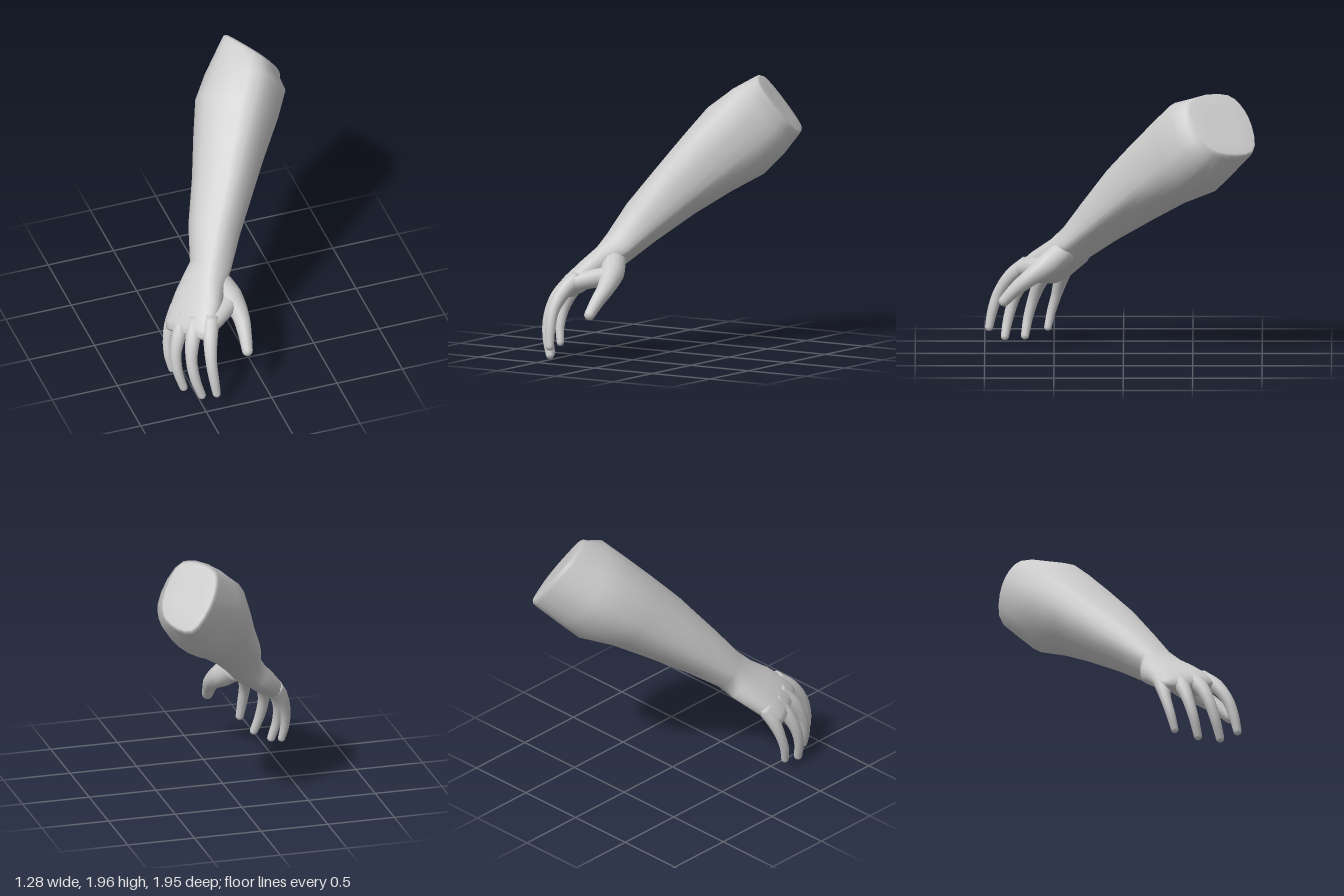
import * as THREE from 'three';

const V = (x, y, z) => new THREE.Vector3(x, y, z);
const SIDES = 24;
const material = new THREE.MeshStandardMaterial({ color: 0xcccccc });

// Forearm frame: axis to the elbow, across and upward directions
const axis = V(0.44, 0.6, -0.66).normalize();
const across = V(0.83, 0, 0.55).normalize();
const upward = V(-0.33, 0.8, 0.495).normalize();
// Palm frame: pinky side to index side, and back of the hand
const palmAcross = V(0.51, 0.2, 0.84).normalize();
const palmBack = V(-0.62, 0.762, 0.195).normalize();

// Skin over a list of rings, closed at both ends
function loft(name, rings) {
  const n = rings[0].length, pos = [], index = [];
  const centre = r => r.reduce((s, p) => s.add(p), V(0, 0, 0)).divideScalar(n);
  rings.forEach(r => r.forEach(p => pos.push(p.x, p.y, p.z)));
  for (let i = 0; i < rings.length - 1; i++) {
    for (let j = 0; j < n; j++) {
      const k = (j + 1) % n;
      const a = i * n + j, b = i * n + k, c = a + n, d = b + n;
      index.push(a, b, c, b, d, c);
    }
  }
  const first = rings.length * n, last = (rings.length - 1) * n;
  pos.push(...centre(rings[0]).toArray(), ...centre(rings[rings.length - 1]).toArray());
  for (let j = 0; j < n; j++) {
    const k = (j + 1) % n;
    index.push(first, k, j, first + 1, last + j, last + k);
  }
  const geo = new THREE.BufferGeometry();
  geo.setAttribute('position', new THREE.Float32BufferAttribute(pos, 3));
  geo.setIndex(index);
  geo.computeVertexNormals();
  const mesh = new THREE.Mesh(geo, material);
  mesh.name = name;
  return mesh;
}

// Forearm ring from radii at six angles; the elbow rings lie on a slanted plane
const ANGLES = [0, 68, 132, 180, 248, 312].map(a => a * Math.PI / 180);
function armRing(s, radii, slanted = false, scale = 1) {
  const curve = new THREE.CatmullRomCurve3(
    radii.map((r, i) => V(Math.cos(ANGLES[i]) * r * scale, Math.sin(ANGLES[i]) * r * scale, 0)), true);
  return Array.from({ length: SIDES }, (_, j) => {
    const p = curve.getPoint(j / SIDES);
    const along = s + (slanted ? -0.42 * p.x - 0.06 * p.y : 0);
    return V(0, 0, 0).addScaledVector(axis, along)
      .addScaledVector(across, p.x).addScaledVector(upward, p.y + 0.87);
  });
}

// Slightly squared ellipse across the palm
function palmRing([x, y, z, halfWidth, halfDepth]) {
  const soft = t => Math.sign(t) * Math.abs(t) ** 0.85;
  return Array.from({ length: SIDES }, (_, j) => {
    const a = j / SIDES * Math.PI * 2;
    return V(x, y, z).addScaledVector(palmAcross, soft(Math.cos(a)) * halfWidth)
      .addScaledVector(palmBack, soft(Math.sin(a)) * halfDepth);
  });
}

// Tapered digit with a rounded tip; each point is x, y, z, radius
function digit(name, points, sides = 14, steps = 16) {
  const curve = new THREE.CatmullRomCurve3(points.map(p => V(p[0], p[1], p[2])));
  const radiusAt = t => {
    const f = t * (points.length - 1), i = Math.min(Math.floor(f), points.length - 2);
    return THREE.MathUtils.lerp(points[i][3], points[i + 1][3], f - i);
  };
  const ring = (p, dir, r) => {
    const u = V(0.51, 0.2, 0.84).addScaledVector(dir, -dir.dot(V(0.51, 0.2, 0.84))).normalize();
    const v = dir.clone().cross(u);
    return Array.from({ length: sides }, (_, j) => {
      const a = j / sides * Math.PI * 2;
      return p.clone().addScaledVector(u, Math.cos(a) * r).addScaledVector(v, Math.sin(a) * r);
    });
  };
  const rings = [];
  for (let i = 0; i <= steps; i++) {
    const t = i / steps;
    rings.push(ring(curve.getPoint(t), curve.getTangent(t), radiusAt(t)));
  }
  const tip = curve.getPoint(1), dir = curve.getTangent(1), r = radiusAt(1);
  for (const a of [0.4, 0.8, 1.15, 1.45]) {
    rings.push(ring(tip.clone().addScaledVector(dir, Math.sin(a) * r), dir, Math.cos(a) * r));
  }
  return loft(name, rings);
}

export function createModel() {
  const model = new THREE.Group();
  model.name = 'arm';

  // Forearm and palm in one skin, from the cut elbow end to the knuckles
  const elbow = [0.21, 0.31, 0.29, 0.235, 0.28, 0.22];
  const skin = [
    armRing(1.735, elbow, true, 0.5),
    armRing(1.735, elbow, true, 0.92),
    armRing(1.72, elbow, true, 0.98),
    armRing(1.69, elbow, true, 1.01),
    armRing(1.52, [0.27, 0.365, 0.335, 0.32, 0.31, 0.265]),
    armRing(1.32, [0.255, 0.345, 0.36, 0.35, 0.33, 0.27]),
    armRing(1.05, [0.225, 0.315, 0.32, 0.31, 0.26, 0.215]),
    armRing(0.75, [0.195, 0.275, 0.27, 0.26, 0.215, 0.15]),
    armRing(0.4, [0.16, 0.2, 0.215, 0.22, 0.17, 0.12]),
    armRing(0.14, [0.148, 0.14, 0.14, 0.16, 0.15, 0.107]),
    ...[
      [-0.30, 0.70, 0.40, 0.175, 0.11],
      [-0.38, 0.62, 0.49, 0.205, 0.095],
      [-0.45, 0.54, 0.57, 0.215, 0.085],
      [-0.50, 0.49, 0.62, 0.21, 0.065],
      [-0.53, 0.46, 0.65, 0.185, 0.035],
    ].map(palmRing),
  ];
  model.add(loft('forearmAndPalm', skin));

  // Fingers, curling down from the knuckles
  const fingers = {
    indexFinger: [[-0.35, 0.60, 0.69, 0.06], [-0.40, 0.50, 0.81, 0.053],
      [-0.425, 0.37, 0.90, 0.042], [-0.42, 0.24, 0.945, 0.037], [-0.408, 0.125, 0.968, 0.03]],
    middleFinger: [[-0.44, 0.57, 0.62, 0.06], [-0.505, 0.45, 0.72, 0.054],
      [-0.535, 0.32, 0.785, 0.042], [-0.52, 0.17, 0.83, 0.037], [-0.482, 0.045, 0.855, 0.03]],
    ringFinger: [[-0.49, 0.55, 0.53, 0.06], [-0.565, 0.43, 0.60, 0.053],
      [-0.605, 0.31, 0.645, 0.042], [-0.605, 0.17, 0.685, 0.036], [-0.57, 0.035, 0.71, 0.03]],
    littleFinger: [[-0.51, 0.54, 0.42, 0.06], [-0.575, 0.43, 0.455, 0.05],
      [-0.61, 0.32, 0.485, 0.038], [-0.618, 0.2, 0.52, 0.033], [-0.6, 0.09, 0.545, 0.027]],
  };
  for (const [name, points] of Object.entries(fingers)) model.add(digit(name, points));

  // Thumb with its mound, and the web towards the index finger
  model.add(digit('thumb', [[-0.22, 0.72, 0.42, 0.09], [-0.155, 0.63, 0.54, 0.09],
    [-0.12, 0.54, 0.67, 0.064], [-0.125, 0.45, 0.78, 0.05], [-0.135, 0.365, 0.86, 0.04]]));
  model.add(digit('thumbWeb', [[-0.16, 0.61, 0.57, 0.07], [-0.26, 0.59, 0.65, 0.068],
    [-0.37, 0.56, 0.73, 0.06]]));

  return model;
}
